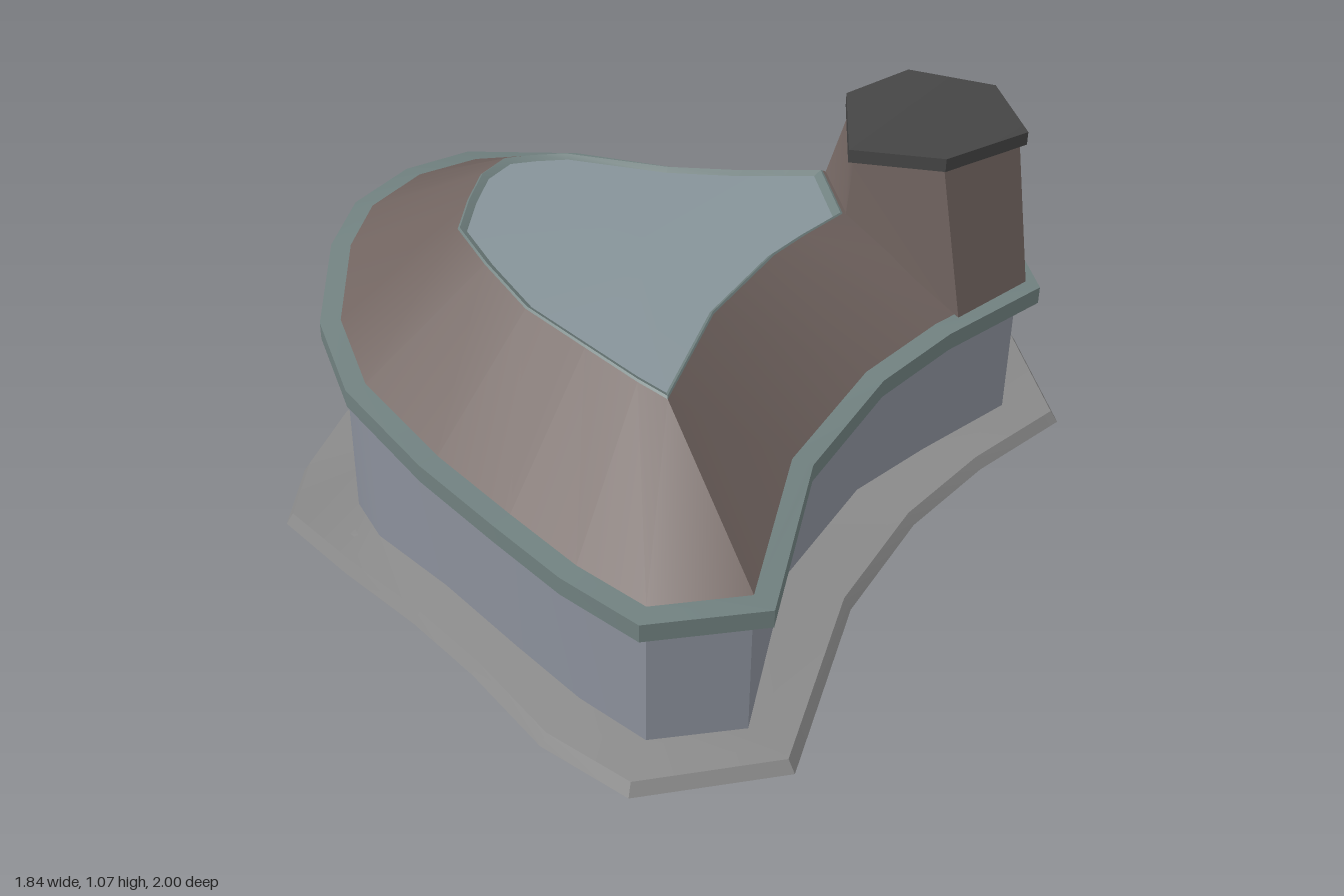
import * as THREE from 'three';
import { toCreasedNormals } from 'three/addons/utils/BufferGeometryUtils.js';

// Plan outlines as [x, z], starting at the back corner and running along the left side
const eavePlan = [
  [0.53, -0.925], [0.77, -0.67], [0.68, -0.36], [0.625, -0.13], [0.645, 0.23],
  [0.845, 0.725], [0.64, 0.92], [0.42, 0.895], [0.2, 0.84], [-0.06, 0.77],
  [-0.38, 0.65], [-0.58, 0.51], [-0.735, 0.285], [-0.795, 0.12], [-0.795, -0.085],
  [-0.74, -0.275], [-0.55, -0.51], [-0.255, -0.66], [0, -0.76], [0.215, -0.8],
];
const basePlan = [
  [0.585, -1], [0.845, -0.725], [0.77, -0.43], [0.735, -0.14], [0.76, 0.215],
  [0.92, 0.735], [0.665, 0.995], [0.42, 0.98], [0.16, 0.89], [-0.055, 0.835],
  [-0.37, 0.725], [-0.68, 0.605], [-0.85, 0.355], [-0.92, 0.12], [-0.92, -0.085],
  [-0.855, -0.31], [-0.615, -0.59], [-0.245, -0.75], [0, -0.85], [0.2, -0.85],
];
const skylightPlan = [
  [0.205, -0.535], [0.35, -0.385], [0.325, -0.25], [0.31, -0.13], [0.325, 0.16],
  [0.42, 0.49], [0.42, 0.49], [0.33, 0.475], [0.16, 0.435], [-0.04, 0.39],
  [-0.22, 0.31], [-0.36, 0.235], [-0.42, 0.12], [-0.465, 0.01], [-0.465, -0.085],
  [-0.42, -0.14], [-0.36, -0.2], [-0.12, -0.315], [0.04, -0.42], [0.14, -0.49],
];

// Heights per outline point: underside of the base and of the eave
const baseY = [0.22, 0.22, 0.22, 0.22, 0.22, 0.22, 0.22, 0.22, 0.22, 0.22,
  0.14, 0.065, 0, 0, 0, 0, 0, 0.06, 0.11, 0.16];
const eaveY = [0.6, 0.6, 0.6, 0.575, 0.565, 0.6, 0.6, 0.6, 0.6, 0.6,
  0.6, 0.635, 0.685, 0.705, 0.705, 0.685, 0.63, 0.6, 0.6, 0.6];

// Move an outline inwards by d with mitred corners
function inset(plan, d) {
  const n = plan.length;
  const normal = (a, b) => new THREE.Vector2(a[1] - b[1], b[0] - a[0]).normalize();
  return plan.map((p, i) => {
    const n1 = normal(plan[(i + n - 1) % n], p);
    const n2 = normal(p, plan[(i + 1) % n]);
    const k = d / (1 + n1.dot(n2));
    return [p[0] + (n1.x + n2.x) * k, p[1] + (n1.y + n2.y) * k];
  });
}

const shrink = (plan, t, cx, cz) =>
  plan.map(([x, z]) => [x + (cx - x) * t, z + (cz - z) * t]);

// Give an outline its heights
const lift = (plan, ys, dy = 0) =>
  plan.map(([x, z], i) => [x, (Array.isArray(ys) ? ys[i] : ys) + dy, z]);

// Skin a list of matching closed loops, from the lower outside upwards
function loft(loops) {
  const pos = [];
  for (let k = 0; k < loops.length - 1; k++) {
    const a = loops[k], b = loops[k + 1], n = a.length;
    for (let i = 0; i < n; i++) {
      const j = (i + 1) % n;
      pos.push(...a[i], ...b[i], ...b[j], ...a[i], ...b[j], ...a[j]);
    }
  }
  const g = new THREE.BufferGeometry();
  g.setAttribute('position', new THREE.Float32BufferAttribute(pos, 3));
  return toCreasedNormals(g, 0.5);
}

export function createModel() {
  const model = new THREE.Group();
  const add = (name, color, loops) => {
    const material = new THREE.MeshStandardMaterial({ color, side: THREE.DoubleSide });
    const mesh = new THREE.Mesh(loft(loops), material);
    mesh.name = name;
    model.add(mesh);
  };
  const BROWN = 0x70635f, TEAL = 0x70807f;
  const wallPlan = inset(eavePlan, 0.05);

  // Sloping base flange, open in the middle
  const flangeInner = lift(wallPlan, baseY, 0.033);
  add('baseFlange', 0x8a8a8a, [
    flangeInner,
    lift(basePlan, baseY),
    lift(inset(basePlan, 0.018), baseY, 0.03),
    lift(wallPlan, baseY, 0.042),
    flangeInner,
  ]);

  // Wall shell between base and eave
  add('wall', 0x8b909b, [lift(wallPlan, baseY, 0.033), lift(wallPlan, eaveY, 0.02)]);

  // Projecting eave band
  add('eave', TEAL, [
    lift(wallPlan, eaveY),
    lift(eavePlan, eaveY),
    lift(eavePlan, eaveY, 0.047),
    lift(wallPlan, eaveY, 0.05),
  ]);

  // Sloping roof up to the skylight
  const topY = skylightPlan.map(([x]) => 0.863 + 0.03 * Math.max(0, -x / 0.465));
  add('roof', BROWN, [lift(wallPlan, eaveY, 0.05), lift(skylightPlan, topY)]);

  // Skylight frame and pane
  const pane = shrink(skylightPlan, 0.05, 0.02, 0);
  add('skylightFrame', TEAL, [
    lift(skylightPlan, topY),
    lift(shrink(skylightPlan, 0.012, 0.02, 0), topY, 0.004),
    lift(pane, topY, -0.006),
  ]);
  add('skylightPane', 0x87949a, [
    lift(pane, topY, -0.006),
    lift(shrink(pane, 1, 0.02, 0), 0.862),
  ]);

  // Tapered six-sided chimney
  const capPlan = [[0.3, -0.78], [0.52, -0.83], [0.68, -0.69],
    [0.59, -0.435], [0.35, -0.395], [0.205, -0.635]];
  const capY = [1.072, 1.072, 1.055, 1.072, 1.038, 1.04];
  const footPlan = [[0.21, -0.77], [0.53, -0.885], [0.73, -0.67],
    [0.665, -0.43], [0.355, -0.39], [0.21, -0.535]];
  add('chimney', BROWN, [
    lift(footPlan, [0.65, 0.64, 0.65, 0.65, 0.85, 0.85]),
    lift(inset(capPlan, 0.015), capY, -0.03),
  ]);

  // Chimney cap plate
  const centre = shrink(capPlan, 1, 0.44, -0.625);
  add('chimneyCap', 0x444444, [
    lift(centre, 1.025),
    lift(capPlan, capY, -0.035),
    lift(capPlan, capY),
    lift(centre, 1.06),
  ]);

  return model;
}
